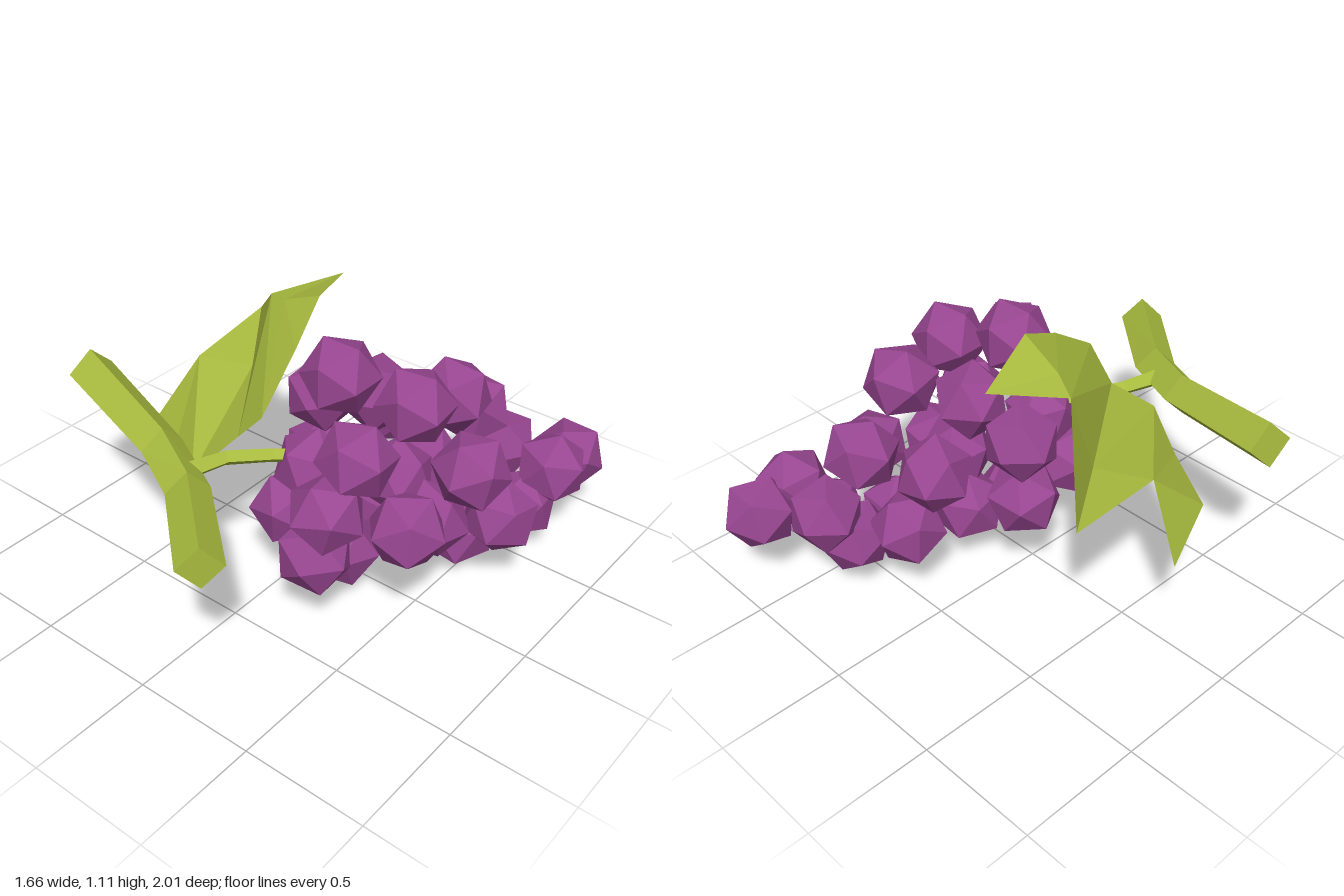
import * as THREE from 'three';

const purple = new THREE.MeshStandardMaterial({ color: 0x984691 });
purple.name = 'grape purple';
const green = new THREE.MeshStandardMaterial({ color: 0xa9bc3f, side: THREE.DoubleSide });
green.name = 'leaf green';

// Faceted geometry from points and triangles
function faceted(points, faces) {
  const g = new THREE.BufferGeometry();
  g.setAttribute('position', new THREE.Float32BufferAttribute(faces.flat().flatMap((i) => points[i]), 3));
  g.computeVertexNormals();
  return g;
}

// Four-sided stalk through the given centres, standing on a corner
function stalk(centres, radii) {
  const c = centres.map((p) => new THREE.Vector3(...p));
  const up = new THREE.Vector3(0, 1, 0);
  const points = [], faces = [];
  c.forEach((p, i) => {
    const t = c[Math.min(i + 1, c.length - 1)].clone().sub(c[Math.max(i - 1, 0)]).normalize();
    const side = t.clone().cross(up).normalize();
    const top = side.clone().cross(t);
    for (let j = 0; j < 4; j++) {
      const a = (j * Math.PI) / 2;
      points.push(p.clone().addScaledVector(top, Math.cos(a) * radii[i])
        .addScaledVector(side, Math.sin(a) * radii[i]).toArray());
      if (i < c.length - 1) {
        const k = i * 4 + j, n = i * 4 + ((j + 1) % 4);
        faces.push([k, n, k + 4], [n, n + 4, k + 4]);
      }
    }
  });
  const e = points.length - 4;
  faces.push([0, 2, 1], [0, 3, 2], [e, e + 1, e + 2], [e, e + 2, e + 3]);
  return faceted(points, faces);
}

export function createModel() {
  const model = new THREE.Group();
  const add = (parent, name, geometry, material) => {
    const mesh = new THREE.Mesh(geometry, material);
    mesh.name = name;
    parent.add(mesh);
    return mesh;
  };

  // Grapes
  const grapes = new THREE.Group();
  grapes.name = 'grapes';
  model.add(grapes);
  const centres = [
    [0.17, 0.935, 0.07], [0.4, 0.77, 0.27], [0.435, 0.86, -0.03], [0.43, 0.78, -0.29],
    [0.64, 0.62, -0.11], [0.565, 0.485, 0.18], [0.33, 0.55, 0.35], [0.275, 0.335, 0.35],
    [0.685, 0.345, -0.27], [0.21, 0.18, 0.1], [0.475, 0.15, -0.32], [0.61, 0.2, -0.57],
    [0.68, 0.35, -0.67], [0.66, 0.31, -0.85], [0.38, 0.58, -0.54], [0.425, 0.35, -0.7],
    [-0.08, 0.665, -0.135], [-0.075, 0.4, -0.12], [0.035, 0.365, 0.21], [0.17, 0.75, -0.16],
    [0.12, 0.55, -0.4], [0.2, 0.29, -0.48], [0.51, 0.37, -0.06], [0.2, 0.24, -0.17],
    [0.12, 0.57, 0.17], [0.39, 0.21, -0.6], [0.3, 0.44, -0.13],
  ];
  const berry = new THREE.IcosahedronGeometry(0.155, 0);
  centres.forEach((p, i) => {
    const grape = add(grapes, 'grape', berry, purple);
    grape.position.set(...p);
    grape.rotation.set(i * 1.7, i * 2.3, i * 0.9);
  });

  // Branch and the twig that carries the bunch
  add(model, 'branch', stalk(
    [[-0.815, 0.753, 0.405], [-0.295, 0.675, 0.54], [-0.05, 0.65, 0.66], [0.275, 0.645, 0.942]],
    [0.092, 0.083, 0.083, 0.086]), green);
  add(model, 'twig', stalk(
    [[-0.13, 0.66, 0.6], [-0.08, 0.655, 0.43], [0.02, 0.63, 0.28], [0.2, 0.6, 0.08]],
    [0.04, 0.032, 0.03, 0.03]), green);

  // Folded three-lobed leaf
  const leafPoints = [
    [-0.18, 0.58, 0.51],    // 0 base
    [-0.4, 0.51, 0.39],     // 1 lower edge
    [-0.655, 0.475, 0.255], // 2 lower edge
    [-0.77, 0.415, -0.04],  // 3 first tip
    [-0.615, 0.7, 0],       // 4 first notch
    [-0.66, 0.73, -0.44],   // 5 middle tip
    [-0.36, 1.0, -0.165],   // 6 second notch
    [-0.405, 0.69, -0.09],  // 7 midrib
    [-0.08, 0.71, 0.36],    // 8 inner fold
    [0.04, 0.84, 0.36],     // 9 upper edge
    [-0.25, 1.03, -0.115],  // 10 upper rib
    [-0.065, 1.11, -0.1],   // 11 upper edge
    [-0.19, 1.05, -0.41],   // 12 last tip
    [0.0, 1.0, 0.12],       // 13 upper edge
  ];
  add(model, 'leaf', faceted(leafPoints, [
    [0, 1, 4], [1, 2, 4], [2, 3, 4], [0, 4, 7], [4, 5, 7], [5, 6, 7], [0, 7, 8],
    [7, 6, 8], [8, 6, 9], [6, 10, 9], [6, 12, 10], [12, 11, 10], [10, 11, 13], [10, 13, 9],
  ].map(([a, b, c]) => [a, c, b])), green);

  return model;
}
